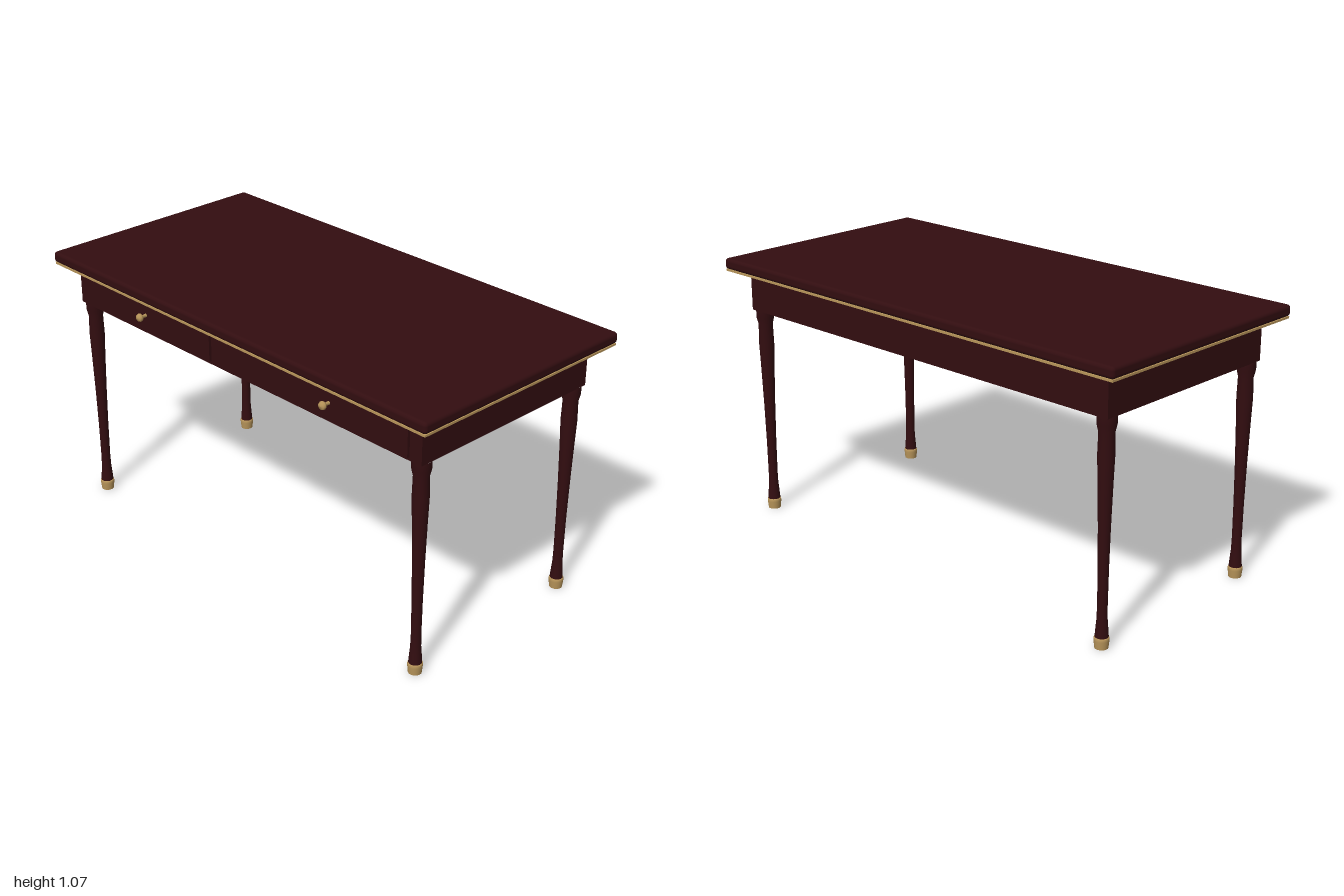
import * as THREE from 'three';
import { RoundedBoxGeometry } from 'three/addons/geometries/RoundedBoxGeometry.js';

export function createModel() {
  const table = new THREE.Group();
  table.name = 'writingTable';

  const wood = new THREE.MeshStandardMaterial({ color: 0x320d10 });
  wood.name = 'dark mahogany';
  const brass = new THREE.MeshStandardMaterial({ color: 0xb8955a });
  brass.name = 'brass';

  const add = (name, geometry, material, x, y, z, parent = table) => {
    const mesh = new THREE.Mesh(geometry, material);
    mesh.name = name;
    mesh.position.set(x, y, z);
    parent.add(mesh);
    return mesh;
  };
  const lathe = (points, sides) =>
    new THREE.LatheGeometry(points.map(([r, y]) => new THREE.Vector2(r, y)), sides);

  // Top slab with softened edges, brass band under it, and the closed apron
  add('tableTop', new RoundedBoxGeometry(2, 0.044, 1, 4, 0.014), wood, 0, 1.05, 0);
  add('brassBand', new THREE.BoxGeometry(1.99, 0.008, 0.99), brass, 0, 1.024, 0);
  add('apron', new THREE.BoxGeometry(1.85, 0.16, 0.858), wood, 0, 0.94, 0);

  // Turned legs with brass feet
  const legGeometry = lathe([
    [0.025, 0.043], [0.0225, 0.075], [0.0195, 0.11], [0.0185, 0.16], [0.0195, 0.3],
    [0.0225, 0.46], [0.027, 0.62], [0.0305, 0.72], [0.0285, 0.8], [0.0355, 0.83], [0.0355, 0.862],
  ], 24);
  const footGeometry = lathe([
    [0, 0], [0.025, 0], [0.025, 0], [0.028, 0.03], [0.028, 0.038], [0.026, 0.043], [0, 0.043],
  ], 24);
  for (const sx of [-1, 1]) {
    for (const sz of [-1, 1]) {
      const leg = new THREE.Group();
      leg.name = `${sz > 0 ? 'front' : 'back'}${sx > 0 ? 'Left' : 'Right'}Leg`;
      leg.position.set(sx * 0.893, 0, sz * 0.393);
      add('turnedLeg', legGeometry, wood, 0, 0, 0, leg);
      add('brassFoot', footGeometry, brass, 0, 0, 0, leg);
      table.add(leg);
    }
  }

  // Two drawers, each with a turned brass knob
  const drawerGeometry = new THREE.BoxGeometry(0.74, 0.133, 0.014);
  const knobGeometry = lathe([
    [0.007, 0], [0.006, 0.018], [0.014, 0.023], [0.0165, 0.03], [0.013, 0.038], [0, 0.041],
  ], 20);
  knobGeometry.rotateX(Math.PI / 2);
  for (const sx of [-1, 1]) {
    const drawer = new THREE.Group();
    drawer.name = sx > 0 ? 'leftDrawer' : 'rightDrawer';
    drawer.position.set(sx * 0.5, 0.94, 0);
    add('drawerFront', drawerGeometry, wood, 0, 0, 0.433, drawer);
    add('knob', knobGeometry, brass, 0, 0, 0.44, drawer);
    table.add(drawer);
  }

  return table;
}
